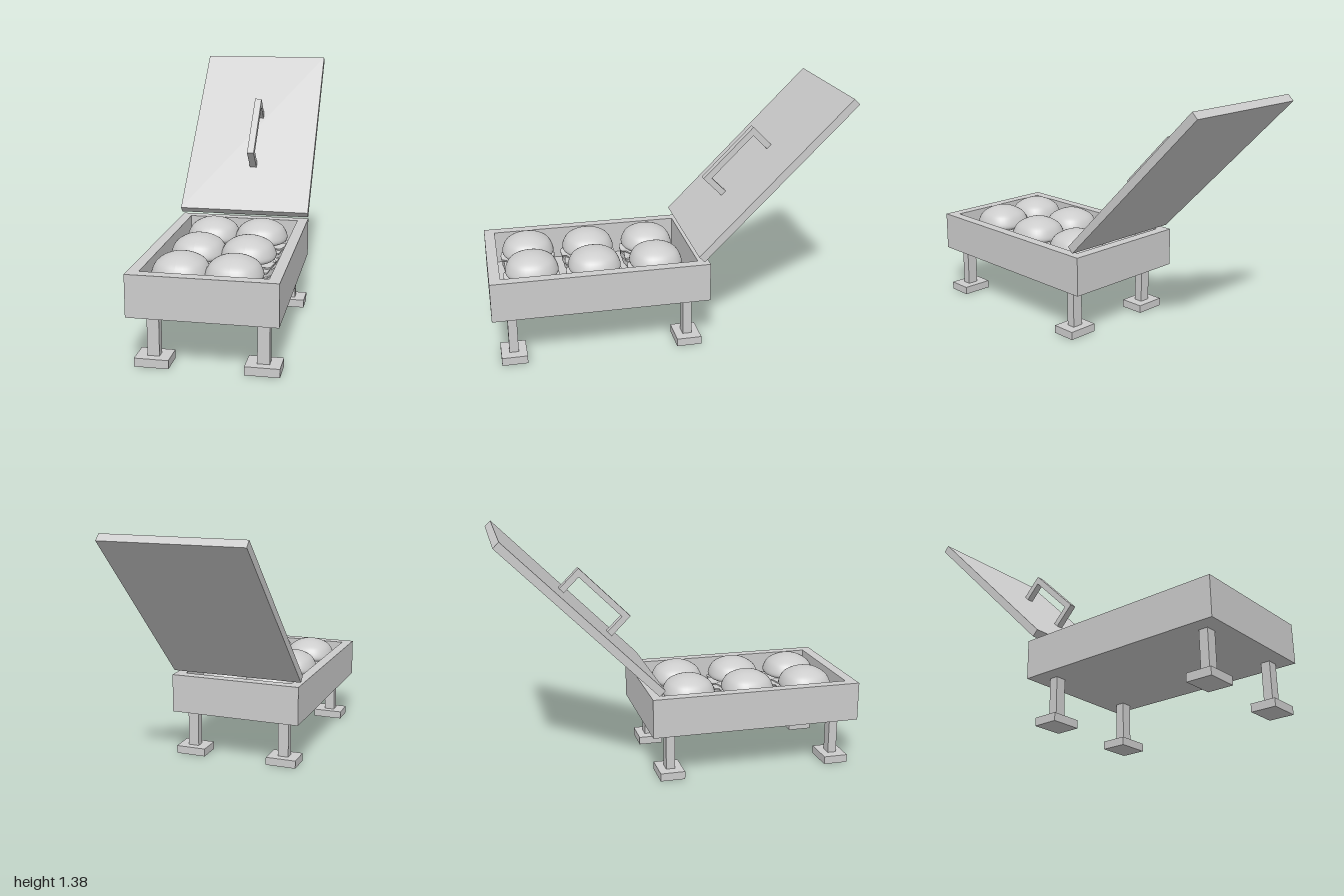
import * as THREE from 'three';

const grey = new THREE.MeshStandardMaterial({ color: 0xcccccc });
grey.name = 'plain grey';

function add(parent, name, geometry, x = 0, y = 0, z = 0) {
  const mesh = new THREE.Mesh(geometry, grey);
  mesh.name = name;
  mesh.position.set(x, y, z);
  parent.add(mesh);
  return mesh;
}

// Box given by its lower and upper corner
function block(parent, name, a, b) {
  const size = b.map((v, i) => v - a[i]);
  return add(parent, name, new THREE.BoxGeometry(...size), ...a.map((v, i) => (v + b[i]) / 2));
}

// Lathe whose round plan is pushed slightly towards a square
function softSquareLathe(points, power) {
  const curve = new THREE.SplineCurve(points.map(([r, y]) => new THREE.Vector2(r, y)));
  const profile = curve.getPoints(24);
  profile.forEach((p) => { p.x = Math.max(p.x, 0); });
  const g = new THREE.LatheGeometry(profile, 40);
  const pos = g.attributes.position;
  for (let i = 0; i < pos.count; i++) {
    const x = pos.getX(i), z = pos.getZ(i), r = Math.hypot(x, z);
    if (r < 1e-6) continue;
    const c = Math.abs(x / r), s = Math.abs(z / r);
    const k = (c ** power + s ** power) ** (-1 / power);
    pos.setX(i, x * k);
    pos.setZ(i, z * k);
  }
  g.computeVertexNormals();
  return g;
}

// Round leaf with a wavy rim
function leafGeometry() {
  const g = new THREE.CylinderGeometry(0.155, 0.155, 0.008, 48, 4);
  const pos = g.attributes.position;
  for (let i = 0; i < pos.count; i++) {
    const x = pos.getX(i), z = pos.getZ(i), a = Math.atan2(z, x);
    const rim = Math.hypot(x, z) / 0.155;
    pos.setY(i, pos.getY(i) + 0.007 * rim * Math.sin(8 * a));
    pos.setX(i, x * (1 + 0.025 * Math.sin(5 * a)));
    pos.setZ(i, z * (1 + 0.025 * Math.sin(5 * a)));
  }
  g.computeVertexNormals();
  return g;
}

export function createModel() {
  const model = new THREE.Group();
  model.name = 'openGrillBoxWithBuns';

  // Open tray
  const tray = new THREE.Group();
  tray.name = 'tray';
  model.add(tray);
  block(tray, 'floor', [-0.378, 0.27, -0.2], [0.378, 0.3, 1]);
  for (const s of [-1, 1]) {
    block(tray, 'sideWall', [s * 0.349 - 0.029, 0.3, -0.14], [s * 0.349 + 0.029, 0.49, 0.94]);
  }
  block(tray, 'backWall', [-0.378, 0.3, -0.2], [0.378, 0.49, -0.14]);
  block(tray, 'frontWall', [-0.378, 0.3, 0.94], [0.378, 0.49, 1]);

  // Legs with flat feet
  for (const x of [-0.263, 0.291]) {
    for (const z of [-0.083, 0.892]) {
      block(model, 'leg', [x - 0.031, 0.045, z - 0.025], [x + 0.031, 0.27, z + 0.025]);
      block(model, 'foot', [x - 0.088, 0, z - 0.07], [x + 0.088, 0.045, z + 0.07]);
    }
  }

  // Raised lid and its handle, leaning back at 45 degrees
  const lid = new THREE.Group();
  lid.name = 'lid';
  lid.position.set(0, 0.942, -0.566);
  lid.rotation.x = -Math.PI / 4;
  model.add(lid);
  block(lid, 'lidPanel', [-0.381, -0.592, -0.0225], [0.381, 0.592, 0.0225]);
  block(lid, 'handleGrip', [0, -0.284, 0.141], [0.04, 0.122, 0.176]);
  block(lid, 'handlePost', [0, -0.284, 0.0225], [0.04, -0.249, 0.141]);
  block(lid, 'handlePost', [0, 0.087, 0.0225], [0.04, 0.122, 0.141]);

  // Filled buns in two columns of three
  const topBun = softSquareLathe([[0, 0.415], [0.1, 0.415], [0.137, 0.423], [0.147, 0.445],
    [0.128, 0.49], [0.096, 0.517], [0.05, 0.537], [0, 0.543]], 2.3);
  const bottomBun = softSquareLathe([[0, 0.3], [0.11, 0.3], [0.139, 0.315], [0.143, 0.34],
    [0.13, 0.352], [0, 0.352]], 2.3);
  const patty = new THREE.CylinderGeometry(0.152, 0.152, 0.03, 40);
  const slice = new THREE.BoxGeometry(0.27, 0.008, 0.27);
  const leaf = leafGeometry();
  const rows = [[-0.135, 0.14, 0.062], [-0.143, 0.128, 0.41], [-0.155, 0.117, 0.758]];
  for (const [left, right, z] of rows) {
    for (const x of [left, right]) {
      const bun = new THREE.Group();
      bun.name = 'filledBun';
      bun.position.set(x, 0, z);
      model.add(bun);
      add(bun, 'bottomBun', bottomBun);
      add(bun, 'patty', patty, -0.006, 0.367, 0);
      add(bun, 'cheeseSlice', slice, 0, 0.386, 0).rotation.y = -0.1;
      add(bun, 'leaf', leaf, -0.008, 0.402, 0);
      add(bun, 'topBun', topBun);
    }
  }
  return model;
}
